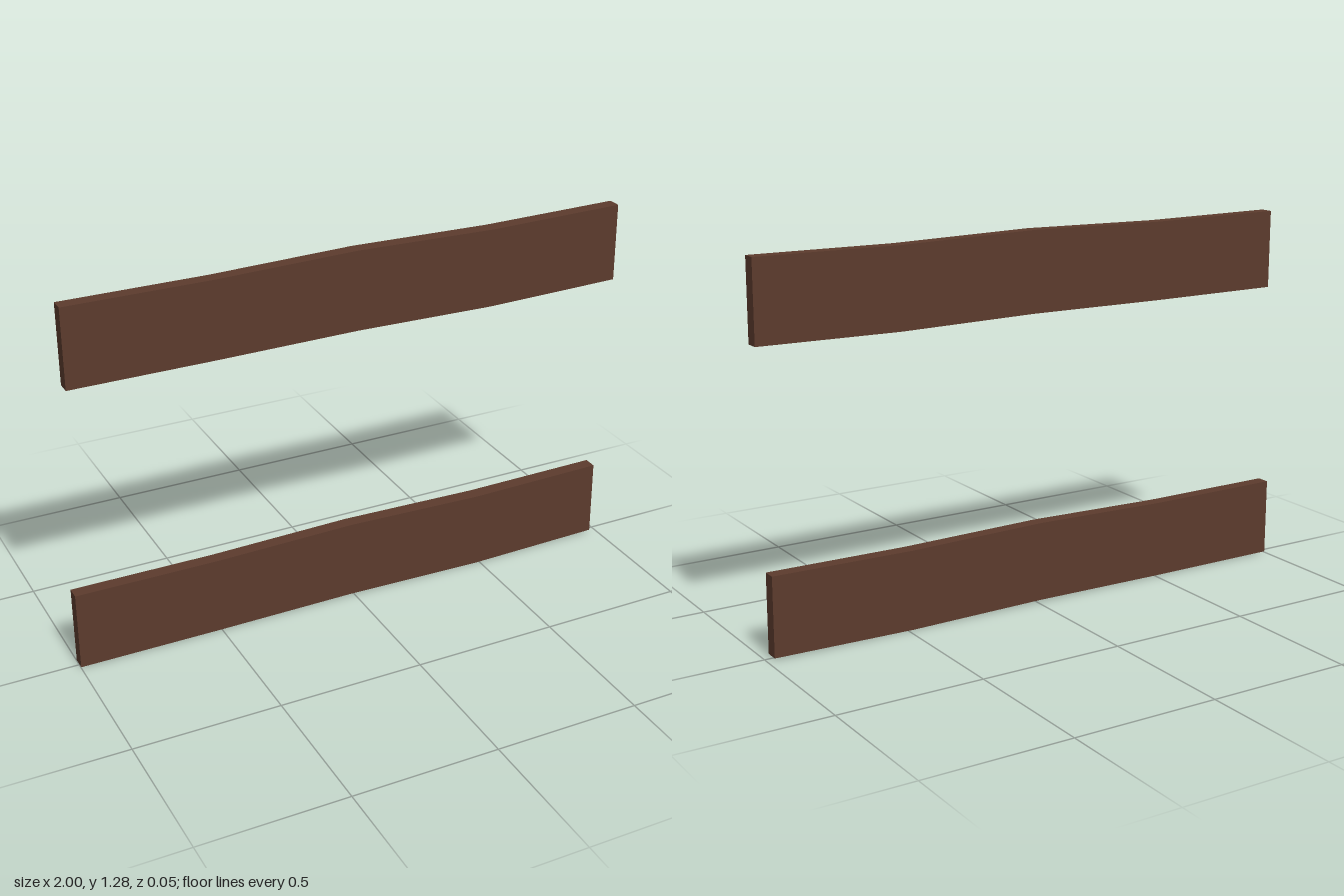
import * as THREE from 'three';

// Hand-hewn plank: a box in four sections whose edges wander slightly
function plankGeometry() {
  const length = 1.975;
  const top = [0.276, 0.274, 0.284, 0.274, 0.279];
  const bottom = [0.004, 0.004, 0.008, 0.001, 0.008];
  const front = [0.019, 0.019, 0.02, 0.025, 0.021];
  const back = [-0.027, -0.027, -0.027, -0.025, -0.025];
  const geometry = new THREE.BoxGeometry(length, 1, 1, 4, 1, 1);
  const p = geometry.attributes.position;
  for (let i = 0; i < p.count; i++) {
    const s = Math.round((p.getX(i) / length + 0.5) * 4);
    const upper = p.getY(i) > 0;
    const z = p.getZ(i) > 0 ? front[s] : back[s];
    p.setXYZ(i, p.getX(i), upper ? top[s] : bottom[s], z + (upper ? 0 : 0.002));
  }
  geometry.computeVertexNormals();
  return geometry;
}

export function createModel() {
  const group = new THREE.Group();
  const wood = new THREE.MeshStandardMaterial({ color: 0x5c3b2d, flatShading: true });
  wood.name = 'dark brown wood';
  const geometry = plankGeometry();

  // Two parallel planks, staggered slightly along their length
  [['lowerPlank', -0.0125, 0], ['upperPlank', 0.0125, 0.998]].forEach(([name, x, y]) => {
    const plank = new THREE.Mesh(geometry, wood);
    plank.name = name;
    plank.position.set(x, y, 0);
    group.add(plank);
  });
  return group;
}
